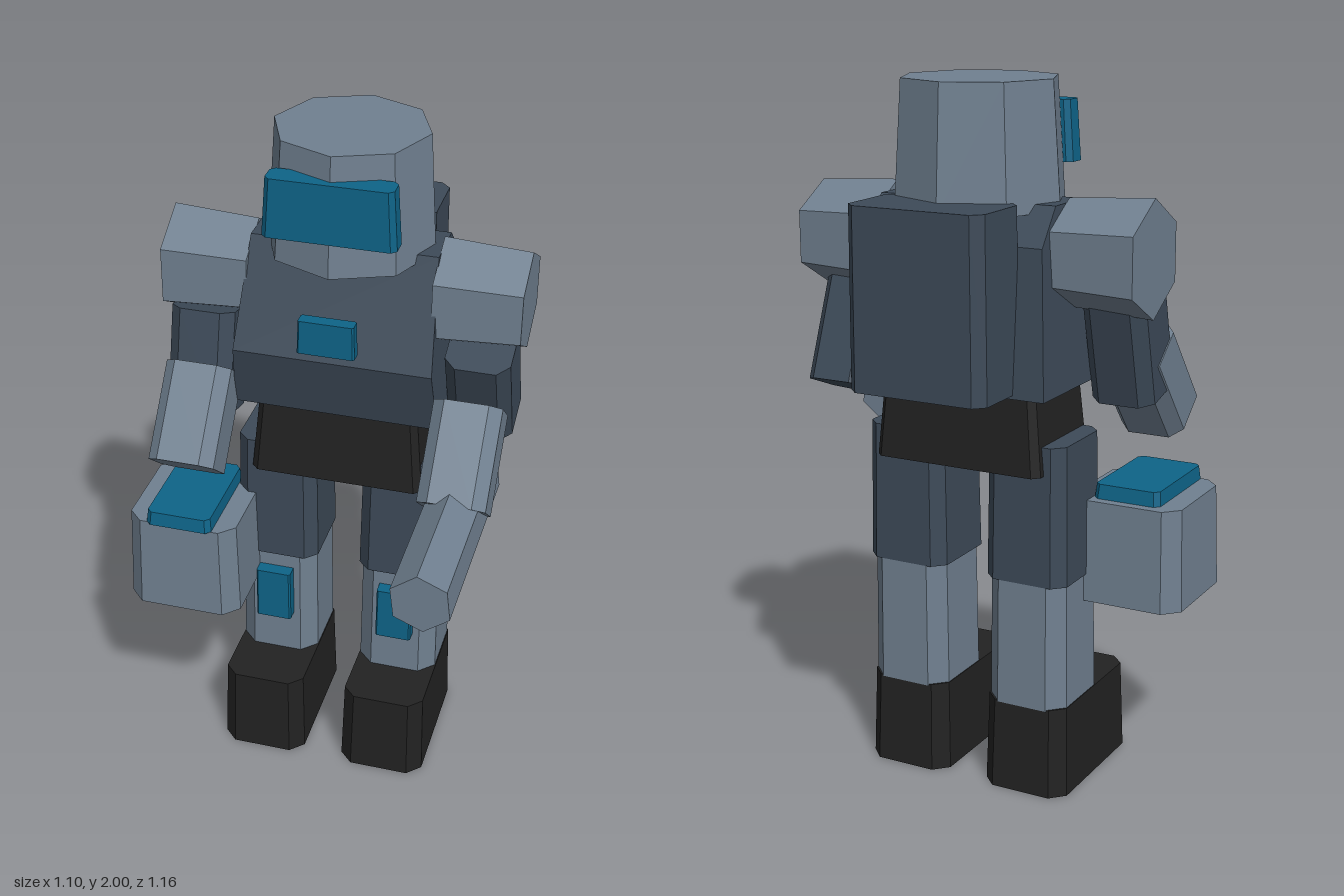
import * as THREE from 'three';

const mat = (name, color) => {
  const m = new THREE.MeshStandardMaterial({ color, flatShading: true });
  m.name = name;
  return m;
};

// Upright block with chamfered vertical edges; the top is scaled by taper.
function block(w, h, d, c = 0.035, taper = 1) {
  const a = w / 2, b = d / 2;
  const s = new THREE.Shape([
    [a - c, -b], [a, c - b], [a, b - c], [a - c, b],
    [c - a, b], [-a, b - c], [-a, c - b], [c - a, -b],
  ].map(([x, y]) => new THREE.Vector2(x, y)));
  const g = new THREE.ExtrudeGeometry(s, { depth: h, bevelEnabled: false });
  g.rotateX(-Math.PI / 2).translate(0, -h / 2, 0);
  const p = g.attributes.position;
  for (let i = 0; i < p.count; i++) {
    if (p.getY(i) > 0) p.setXYZ(i, p.getX(i) * taper, p.getY(i), p.getZ(i) * taper);
  }
  g.computeVertexNormals();
  return g;
}

// Chest: side profile (z, y) extruded across x, narrowing upwards.
function chestGeometry() {
  const s = new THREE.Shape([
    [-0.04, 1.18], [0.01, 1.375], [-0.12, 1.68], [-0.28, 1.68], [-0.37, 1.58], [-0.41, 1.18],
  ].map(([z, y]) => new THREE.Vector2(z, y)));
  const g = new THREE.ExtrudeGeometry(s, { depth: 2, bevelEnabled: false });
  g.translate(0, 0, -1).rotateY(-Math.PI / 2);
  const p = g.attributes.position;
  for (let i = 0; i < p.count; i++) {
    const half = 0.268 + 0.064 * (1.68 - p.getY(i));
    p.setX(i, Math.sign(p.getX(i)) * half);
  }
  g.computeVertexNormals();
  return g;
}

export function createModel() {
  const model = new THREE.Group();
  model.name = 'armouredRobot';
  const steel = mat('steel grey', 0x708090);
  const dark = mat('dark slate', 0x3d4a58);
  const black = mat('black', 0x222222);
  const teal = mat('teal', 0x0e6488);

  const add = (name, geo, material, x, y, z, rx = 0) => {
    const m = new THREE.Mesh(geo, material);
    m.name = name;
    m.position.set(x, y, z);
    m.rotation.x = rx;
    model.add(m);
    return m;
  };
  const cx = 0.037; // body centre line

  // Head and visor
  add('head', new THREE.CylinderGeometry(0.22, 0.242, 0.345, 8), steel, cx, 1.8275, -0.2);
  add('visor', block(0.375, 0.17, 0.078, 0.015, 0.94), teal, cx, 1.845, 0.01);

  // Torso, pelvis and backpack
  add('chest', chestGeometry(), dark, cx, 0, 0);
  add('chestLight', block(0.165, 0.1, 0.042, 0.005, 0.96), teal, cx, 1.48, 0.047);
  add('pelvis', block(0.515, 0.25, 0.325, 0.02, 0.91), black, cx, 1.075, -0.2);
  add('backpack', block(0.415, 0.5, 0.235, 0.03, 0.98), dark, cx, 1.44, -0.46);

  // Legs
  for (const [side, s] of [['left', 1], ['right', -1]]) {
    const x = cx + s * 0.191;
    add(side + 'Thigh', block(0.25, 0.4, 0.27, 0.035, 0.95), dark, x, 0.83, -0.195);
    add(side + 'Shin', block(0.242, 0.37, 0.268, 0.045, 0.97), steel, x, 0.446, -0.197);
    add(side + 'Foot', block(0.26, 0.265, 0.46, 0.04, 0.95), black, x, 0.1325, -0.11);
    add(side + 'KneePlate', block(0.11, 0.17, 0.046, 0.005, 0.97), teal, x, 0.497, -0.048);
  }

  // Arms
  const arms = [
    { side: 'left', x: 0.43, y: 1.26, z: -0.222, tilt: 0.38 },
    { side: 'right', x: -0.355, y: 1.295, z: -0.08, tilt: -0.24 },
  ];
  for (const a of arms) {
    const shoulder = new THREE.CylinderGeometry(0.162, 0.147, 0.248, 6);
    shoulder.rotateY(Math.PI / 2).rotateZ(Math.PI / 2);
    // turn the hexagon so that one corner points up
    const p = shoulder.attributes.position;
    let top = 0;
    for (let i = 0; i < p.count; i++) top = Math.max(top, p.getY(i));
    if (top < 0.155) shoulder.rotateX(Math.PI / 6);
    add(a.side + 'Shoulder', shoulder, steel, a.x - (a.side === 'left' ? 0.003 : 0), 1.545, -0.197);
    add(a.side + 'UpperArm', block(0.188, 0.31, 0.2), dark, a.x, a.y, a.z, a.tilt);
    add(a.side + 'Forearm', block(0.195, 0.29, 0.19), steel, a.x, 1.158, 0.05, -0.69);
  }

  // Arm cannon, a hexagonal barrel pointing forward
  const barrel = new THREE.CylinderGeometry(0.088, 0.09, 0.65, 6);
  barrel.rotateY(Math.PI / 6 + 0.12).rotateX(Math.PI / 2).rotateZ(Math.PI / 6);
  add('armCannon', barrel, steel, 0.437, 1.043, 0.255);

  // Supply case beside the right leg
  add('supplyCase', block(0.345, 0.295, 0.355, 0.045, 0.95), steel, -0.38, 0.6975, 0);
  add('supplyCaseLid', block(0.2, 0.042, 0.32, 0.015, 0.96), teal, -0.38, 0.865, 0.02);

  return model;
}
